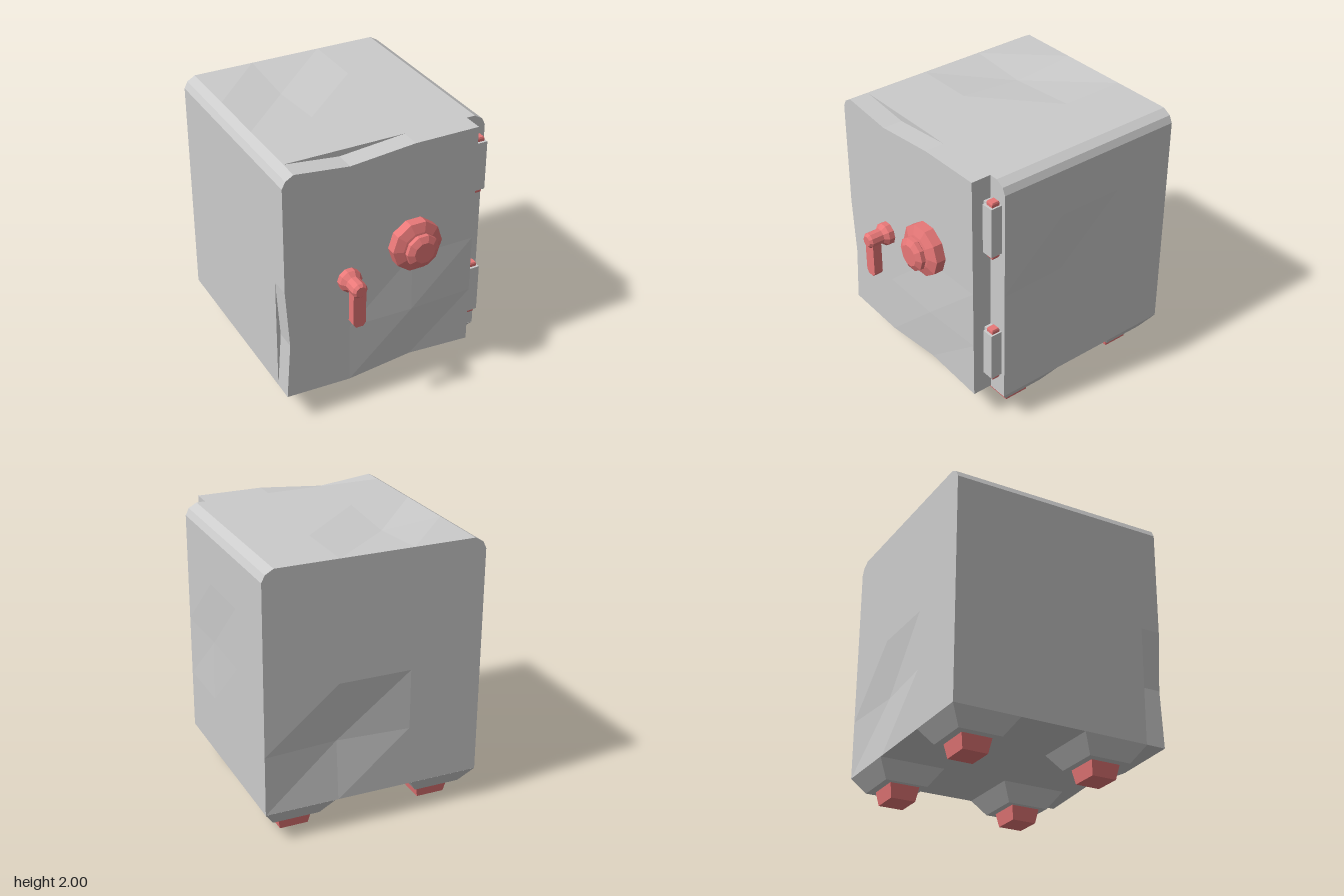
import * as THREE from 'three';

const grey = new THREE.MeshStandardMaterial({ color: 0xcccccc, flatShading: true });
const red = new THREE.MeshStandardMaterial({ color: 0xe87878, flatShading: true });

function add(parent, name, geometry, material, x = 0, y = 0, z = 0) {
  const mesh = new THREE.Mesh(geometry, material);
  mesh.name = name;
  mesh.position.set(x, y, z);
  parent.add(mesh);
  return mesh;
}

// Shared outline: row heights and half widths, rounding in at the top corners
const rowY = [0.23, 0.67, 1.115, 1.56, 1.915, 1.965, 2];
const rowHalf = [0.81, 0.81, 0.81, 0.81, 0.81, 0.785, 0.725];

// Subdivided box whose vertices are placed by grid index (i across, j up, k forward)
function gridBox(nx, nz, place) {
  const ny = rowY.length - 1;
  const g = new THREE.BoxGeometry(1, 1, 1, nx, ny, nz);
  const p = g.attributes.position;
  for (let n = 0; n < p.count; n++) {
    const i = Math.round((p.getX(n) + 0.5) * nx);
    const j = Math.round((p.getY(n) + 0.5) * ny);
    const k = Math.round((p.getZ(n) + 0.5) * nz);
    p.setXYZ(n, ...place(i, j, k));
  }
  const flat = g.toNonIndexed();
  flat.computeVertexNormals();
  return flat;
}

function bodyPoint(i, j, k) {
  let x = [-rowHalf[j], -0.27, 0.27, rowHalf[j]][i];
  let y = rowY[j];
  let z = [-0.91, -0.42, 0.07, 0.57][k];
  if (j === 6 && i === 1 && k === 1) y -= 0.04; // dent in the top
  if (k === 0 && i === 2 && j === 1) z += 0.04; // dent in the back
  if (i === 3 && k === 2 && j === 2) x -= 0.012; // faint dent in the side
  return [x, y, z];
}

function doorPoint(i, j, k) {
  let x = [-rowHalf[j], -0.32, 0.17, 0.66][i];
  let y = rowY[j];
  let z = k ? 0.72 : 0.57;
  if (i === 0 && j === 1) x += 0.03; // worn left edge
  if (i === 1 && j >= 4) y -= 0.045; // dip in the top edge
  if (j === 0 && i === 1) y -= 0.02; // uneven bottom edge
  if (j === 0 && i === 2) y += 0.035;
  if (k === 1 && i === 2 && j === 1) z += 0.014; // slight bulge
  return [x, y, z];
}

// Box that narrows towards its bottom by the factors sx and sz
function taperedBox(w, h, d, sx, sz, bothEnds = false) {
  const g = new THREE.BoxGeometry(w, h, d, 1, bothEnds ? 3 : 1, 1);
  const p = g.attributes.position;
  for (let n = 0; n < p.count; n++) {
    const end = bothEnds ? Math.abs(p.getY(n)) > h * 0.49 : p.getY(n) < 0;
    if (end) {
      p.setX(n, p.getX(n) * sx);
      p.setZ(n, p.getZ(n) * sz);
    } else if (bothEnds) {
      p.setY(n, Math.sign(p.getY(n)) * (h / 2 - 0.012));
    }
  }
  g.computeVertexNormals();
  return g;
}

// Turned part facing forward, from [radius, z] pairs
function turned(profile, sides) {
  const g = new THREE.LatheGeometry(profile.map(([r, z]) => new THREE.Vector2(r, z)), sides);
  g.rotateX(Math.PI / 2);
  g.rotateZ(Math.PI / 2);
  return g;
}

export function createModel() {
  const safe = new THREE.Group();
  safe.name = 'safe';

  add(safe, 'body', gridBox(3, 3, bodyPoint), grey);
  add(safe, 'door', gridBox(3, 1, doorPoint), grey);

  // Feet: flared grey corner brackets with red pads
  for (const sx of [-1, 1]) {
    for (const [zc, padZ] of [[0.325, 0.325], [-0.663, -0.66]]) {
      const foot = new THREE.Group();
      foot.name = 'foot';
      add(foot, 'footBracket', taperedBox(0.52, 0.125, 0.495, 0.67, 0.65), grey, sx * 0.55, 0.1675, zc);
      add(foot, 'footPad', taperedBox(0.255, 0.105, 0.225, 0.83, 0.83), red, sx * 0.54, 0.0525, padZ);
      safe.add(foot);
    }
  }

  // Hinges: sleeve, leaf against the door, and pin
  for (const y of [1.642, 0.608]) {
    const hinge = new THREE.Group();
    hinge.name = 'hinge';
    hinge.position.y = y;
    add(hinge, 'hingeSleeve', new THREE.BoxGeometry(0.09, 0.375, 0.09), grey, 0.735, 0, 0.613);
    add(hinge, 'hingeLeaf', new THREE.BoxGeometry(0.035, 0.375, 0.055), grey, 0.675, 0, 0.597);
    add(hinge, 'hingePin', taperedBox(0.06, 0.44, 0.06, 0.85, 0.85, true), red, 0.737, 0, 0.61);
    safe.add(hinge);
  }

  // Combination dial
  const dial = turned([
    [0, 0], [0.193, 0], [0.193, 0.075], [0.125, 0.1], [0.1, 0.105],
    [0.125, 0.12], [0.125, 0.15], [0.08, 0.173], [0, 0.173],
  ], 10);
  add(safe, 'dial', dial, red, 0.167, 1.235, 0.718);

  // Handle: stem and hanging lever
  const handle = new THREE.Group();
  handle.name = 'handle';
  handle.position.set(-0.332, 1.085, 0.718);
  add(handle, 'handleStem', turned([
    [0, 0], [0.086, 0], [0.086, 0.045], [0.058, 0.077], [0.058, 0.17], [0.04, 0.19], [0, 0.19],
  ], 10), red);
  const lever = new THREE.Shape([
    [-0.048, 0], [-0.048, -0.27], [-0.028, -0.298], [0.028, -0.298], [0.048, -0.27], [0.048, 0],
  ].map(([x, y]) => new THREE.Vector2(x, y)));
  const leverGeometry = new THREE.ExtrudeGeometry(lever, { depth: 0.07, bevelEnabled: false });
  add(handle, 'handleLever', leverGeometry, red, 0, 0, 0.1);
  safe.add(handle);

  return safe;
}
